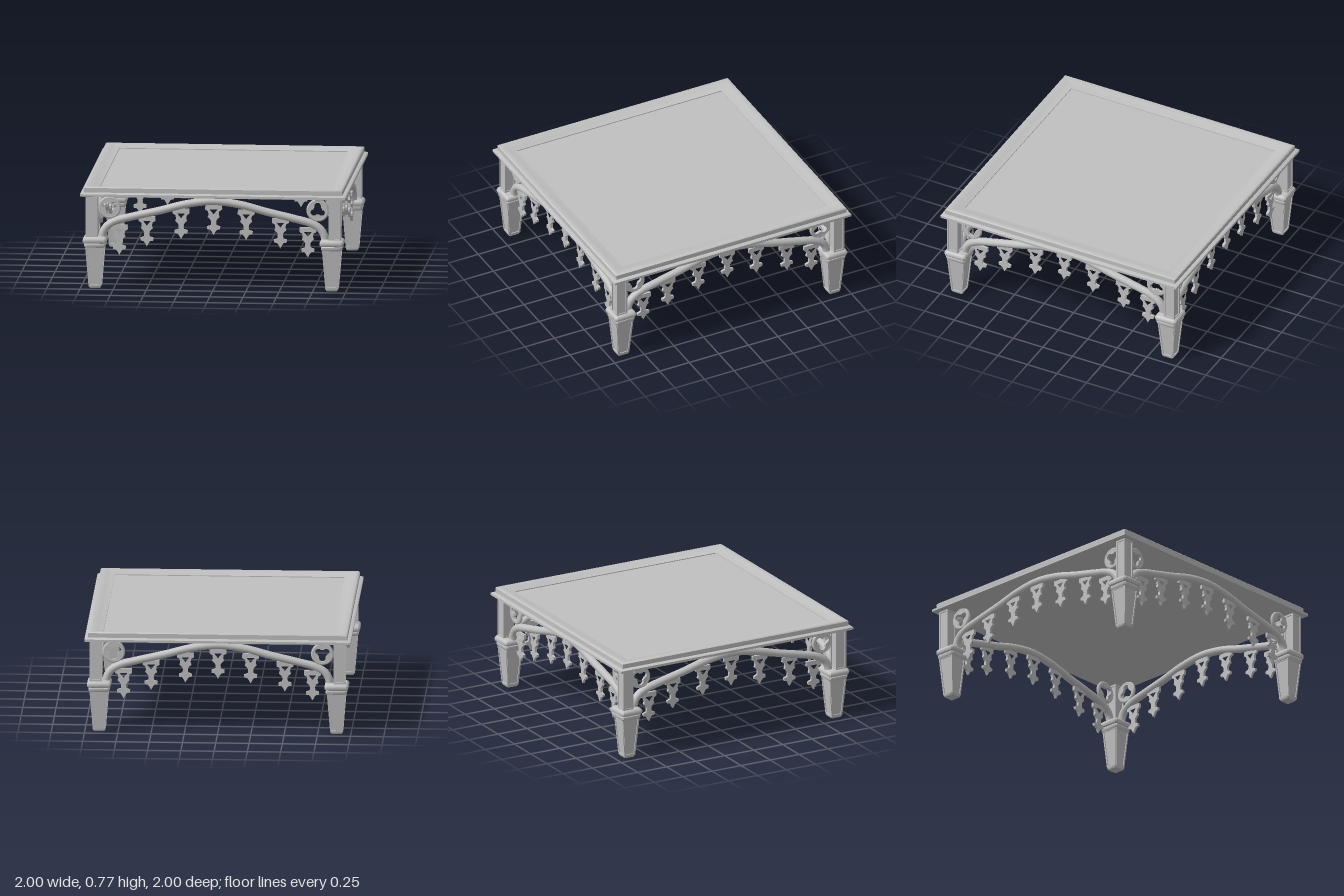
import * as THREE from 'three';
import { toCreasedNormals } from 'three/addons/utils/BufferGeometryUtils.js';

const stone = new THREE.MeshStandardMaterial({ color: 0xc0c0c0 });
stone.name = 'pale grey';

function mesh(geometry, name) {
  const m = new THREE.Mesh(geometry, stone);
  m.name = name;
  return m;
}

// Square loft with chamfered corners: profile is [halfWidth, y] from bottom to top
function loft(profile, chamfer) {
  const rings = profile.map(([h, y]) => {
    const c = h * (1 - chamfer);
    return [[h, c], [c, h], [-c, h], [-h, c], [-h, -c], [-c, -h], [c, -h], [h, -c]]
      .map(([x, z]) => [x, y, -z]);
  });
  const pos = [];
  for (let i = 0; i < rings.length - 1; i++) {
    for (let k = 0; k < 8; k++) {
      const n = (k + 1) % 8;
      const a = rings[i][k], b = rings[i][n], c = rings[i + 1][n], d = rings[i + 1][k];
      pos.push(...a, ...b, ...c, ...a, ...c, ...d);
    }
  }
  const g = new THREE.BufferGeometry();
  g.setAttribute('position', new THREE.Float32BufferAttribute(pos, 3));
  g.computeVertexNormals();
  return toCreasedNormals(g, 0.6);
}

const polygon = (pts) => pts.map(([x, y]) => new THREE.Vector2(x, y));

function extrude(shape, depth) {
  return new THREE.ExtrudeGeometry(shape, { depth, bevelEnabled: false, curveSegments: 10 });
}

// Tapered border around a sunken panel
function panelFrame(bottomHalf, topHalf, height, border) {
  const shape = new THREE.Shape(polygon([
    [-bottomHalf, 0], [bottomHalf, 0], [topHalf, height], [-topHalf, height]]));
  const b = bottomHalf - border, t = topHalf - border;
  shape.holes.push(new THREE.Path(polygon([
    [-b, border], [-t, height - border], [t, height - border], [b, border]])));
  return extrude(shape, 0.008);
}

function addFrames(parent, geometry, y, z, tilt, name) {
  for (let k = 0; k < 4; k++) {
    const side = new THREE.Group();
    const f = mesh(geometry, name);
    f.position.set(0, y, z);
    f.rotation.x = tilt;
    side.add(f);
    side.rotation.y = k * Math.PI / 2;
    parent.add(side);
  }
}

function makeLeg() {
  const leg = new THREE.Group();
  leg.name = 'leg';
  const lower = new THREE.Group();
  lower.name = 'lowerLeg';
  lower.position.set(0.892, 0, 0.892);
  lower.add(mesh(loft([[0.001, 0], [0.04, 0], [0.047, 0.012], [0.047, 0.022],
    [0.042, 0.024], [0.065, 0.318]], 0.12), 'taperedLeg'));
  addFrames(lower, panelFrame(0.044, 0.068, 0.3, 0.011), 0.018, 0.0405, 0.078, 'legPanelFrame');
  lower.add(mesh(loft([[0.06, 0.308], [0.074, 0.312], [0.08, 0.322], [0.08, 0.338],
    [0.076, 0.343], [0.086, 0.349], [0.09, 0.36], [0.09, 0.372], [0.085, 0.383],
    [0.074, 0.392], [0.001, 0.394]], 0.15), 'collar'));
  leg.add(lower);

  const post = new THREE.Group();
  post.name = 'upperPost';
  post.position.set(0.917, 0, 0.917);
  const core = mesh(new THREE.BoxGeometry(0.076, 0.315, 0.076), 'postCore');
  core.position.y = 0.547;
  post.add(core);
  addFrames(post, panelFrame(0.045, 0.045, 0.312, 0.013), 0.39, 0.037, 0, 'postPanelFrame');
  leg.add(post);
  return leg;
}

// Hanging ornament with a small triangular piercing and a leaf tip
function pendantGeometry() {
  const half = [[0.062, 0.012], [0.064, -0.022], [0.043, -0.035], [0.038, -0.06], [0.045, -0.08],
    [0.03, -0.092], [0.019, -0.11], [0.021, -0.142], [0.05, -0.152], [0.047, -0.173],
    [0.026, -0.176], [0.015, -0.19]];
  const mirrored = half.map(([x, y]) => [-x, y]).reverse();
  const shape = new THREE.Shape(polygon([...half, [0, -0.218], ...mirrored]));
  shape.holes.push(new THREE.Path(polygon([[-0.029, -0.022], [0.029, -0.022], [0, -0.058]])));
  return extrude(shape, 0.02).translate(0, 0, -0.01);
}

// Disc pierced by a three-lobed opening
function trefoilGeometry() {
  const shape = new THREE.Shape();
  shape.absarc(0, 0, 0.076, 0, Math.PI * 2);
  const pts = [];
  for (let i = 0; i < 3; i++) {
    const a = -Math.PI / 2 + i * Math.PI * 2 / 3;
    for (let j = 0; j <= 10; j++) {
      const t = a - 1.9 + 3.8 * j / 10;
      pts.push([0.034 * Math.cos(a) + 0.025 * Math.cos(t), 0.034 * Math.sin(a) + 0.025 * Math.sin(t)]);
    }
  }
  shape.holes.push(new THREE.Path(polygon(pts)));
  return extrude(shape, 0.022).translate(0, 0, -0.011);
}

function makeSide(index, shared) {
  const side = new THREE.Group();
  side.name = 'archedSide';
  const z = 0.9;
  const arch = mesh(shared.arch, 'archRail');
  arch.position.z = z;
  side.add(arch);

  for (const [x, y] of [[0, 0.628], [0.245, 0.595], [0.503, 0.535], [0.71, 0.468]]) {
    for (const s of x ? [-1, 1] : [1]) {
      const p = mesh(shared.pendant, 'pendant');
      p.position.set(s * x, y, z);
      side.add(p);
    }
  }
  for (const s of [-1, 1]) {
    const roundel = new THREE.Group();
    roundel.name = 'roundel';
    roundel.add(mesh(shared.ring, 'roundelRing'), mesh(shared.trefoil, 'roundelTracery'));
    roundel.position.set(s * 0.784, 0.61, z);
    if (s > 0 && index < 2) roundel.rotation.z = Math.PI;
    side.add(roundel);
  }
  side.rotation.y = index * Math.PI / 2;
  return side;
}

export function createModel() {
  const model = new THREE.Group();
  model.name = 'lowTable';

  // Moulded top with a slightly sunken centre panel
  model.add(mesh(loft([[0.001, 0.702], [0.985, 0.702], [1, 0.706], [1, 0.724], [0.988, 0.731],
    [0.974, 0.734], [0.974, 0.768], [0.966, 0.775], [0.945, 0.775], [0.92, 0.77],
    [0.89, 0.76], [0.863, 0.754], [0.863, 0.748], [0.001, 0.748]], 0.002), 'tableTop'));

  // Arch path, mirrored about the middle
  const half = [[0.84, 0.375], [0.833, 0.42], [0.805, 0.467], [0.74, 0.508], [0.6, 0.546],
    [0.4, 0.593], [0.2, 0.645]];
  const path = [...half.map(([x, y]) => [-x, y]), [0, 0.668], ...half.slice().reverse()];
  const curve = new THREE.CatmullRomCurve3(path.map(([x, y]) => new THREE.Vector3(x, y, 0)));
  const shared = {
    arch: new THREE.TubeGeometry(curve, 72, 0.03, 12),
    pendant: pendantGeometry(),
    trefoil: trefoilGeometry(),
    ring: new THREE.TorusGeometry(0.073, 0.013, 8, 32),
  };

  for (let k = 0; k < 4; k++) {
    const corner = makeLeg();
    corner.rotation.y = k * Math.PI / 2;
    model.add(corner, makeSide(k, shared));
  }
  return model;
}
